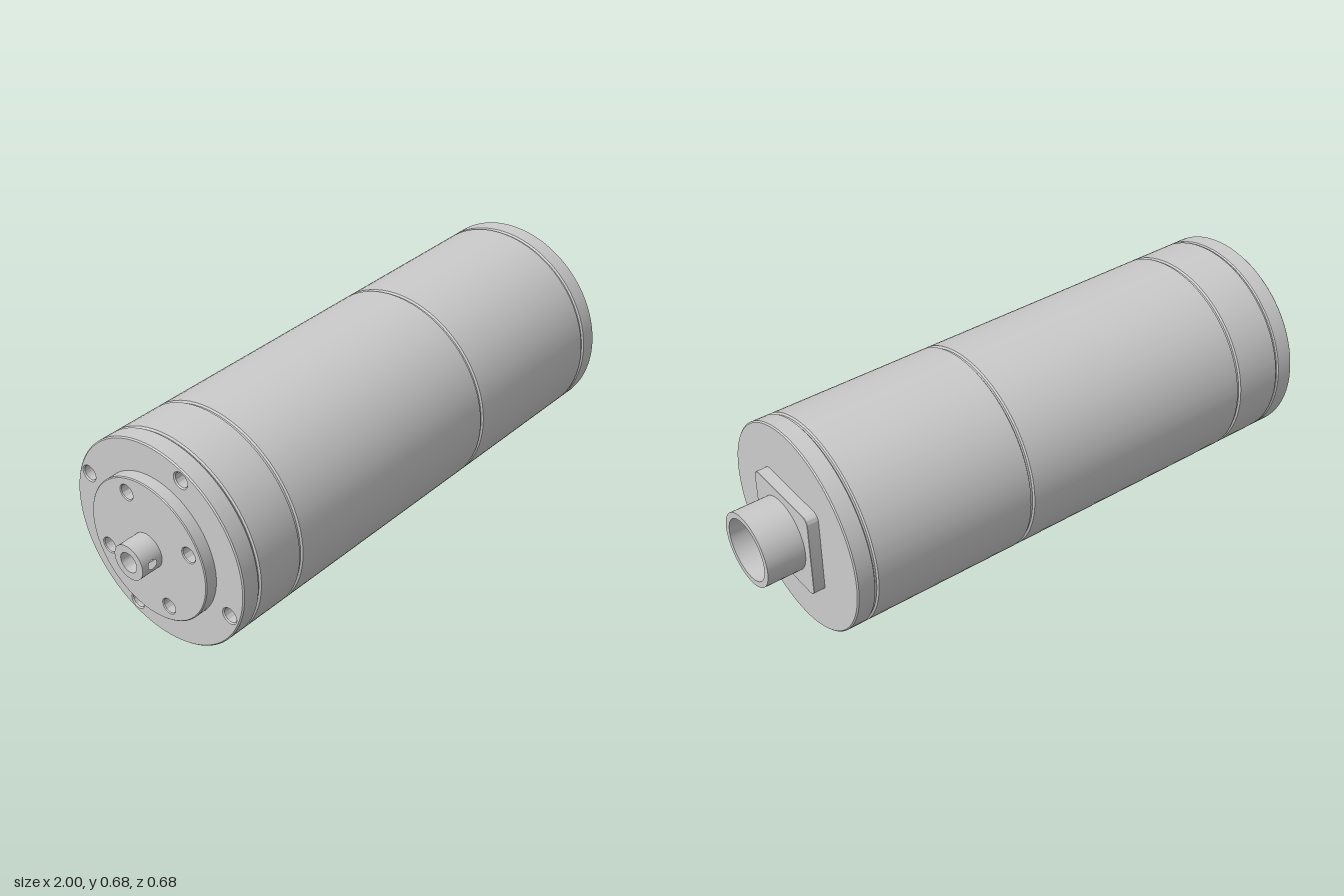
import * as THREE from 'three';
import { toCreasedNormals } from 'three/addons/utils/BufferGeometryUtils.js';
import { ParametricGeometry } from 'three/addons/geometries/ParametricGeometry.js';

const R = 0.341; // body radius; the axis runs along x
const SEG = 96;

export function createModel() {
  const root = new THREE.Group();
  root.name = 'motor';
  const axis = new THREE.Group();
  axis.name = 'motorAxis';
  axis.position.y = R;
  root.add(axis);
  const mat = new THREE.MeshStandardMaterial({ color: 0xcccccc });

  const add = (name, geo) => {
    const mesh = new THREE.Mesh(geo, mat);
    mesh.name = name;
    axis.add(mesh);
    return mesh;
  };

  // Turned part: points are [radius, x]
  const turned = (name, pts, seg = SEG) => {
    const geo = new THREE.LatheGeometry(pts.map(([r, x]) => new THREE.Vector2(r, x)), seg);
    geo.rotateZ(-Math.PI / 2);
    return add(name, toCreasedNormals(geo, 0.5));
  };

  // Plate from x0 to x1 with small chamfers
  const plate = (name, shape, x0, x1, bevel = 0.004) => {
    const geo = new THREE.ExtrudeGeometry(shape, {
      depth: x1 - x0 - 2 * bevel, curveSegments: SEG / 2,
      bevelThickness: bevel, bevelSize: bevel, bevelOffset: -bevel, bevelSegments: 1,
    });
    geo.translate(0, 0, x0 + bevel);
    geo.rotateY(Math.PI / 2);
    return add(name, toCreasedNormals(geo, 0.5));
  };

  const disc = (r) => new THREE.Shape().absarc(0, 0, r, 0, Math.PI * 2);
  const hole = (shape, x, y, r) =>
    shape.holes.push(new THREE.Path().absarc(x, y, r, 0, Math.PI * 2, true));
  // Four screw holes on a bolt circle, angle measured from straight up
  const boltHoles = (shape, radius, start) => {
    for (let i = 0; i < 4; i++) {
      const a = start + i * Math.PI / 2;
      hole(shape, -radius * Math.sin(a), radius * Math.cos(a), 0.024);
    }
  };

  // Housing with shallow grooves at the section joints
  const g = 0.006;
  const profile = [[0, -0.826], [R - g, -0.826], [R - g, -0.818], [R, -0.814]];
  for (const x of [-0.648, 0.205, 0.77]) {
    profile.push([R, x - 0.007], [R - g, x - 0.003], [R - g, x + 0.003], [R, x + 0.007]);
  }
  profile.push([R, 0.831], [R - 0.004, 0.835], [0, 0.835]);
  turned('housing', profile);

  // Front cover ring and centring boss, both with screw holes
  const cover = disc(R);
  hole(cover, 0, 0, 0.229);
  boltHoles(cover, 0.303, Math.PI / 8);
  plate('frontCover', cover, -0.885, -0.822);
  const boss = disc(0.235);
  boltHoles(boss, 0.185, -Math.PI / 8);
  plate('centringBoss', boss, -0.925, -0.826, 0.003);

  // Hollow output shaft: bore and end face
  const shaftR = 0.058;
  turned('shaftBore', [[0.033, -0.925], [0.033, -1], [shaftR, -1]], 48);

  // Shaft wall: two half shells, each with a round cross hole
  const halfShell = (u, v, target) => {
    const t = -u * Math.PI * 2;
    const c = Math.cos(t), s = Math.sin(t), m = Math.max(Math.abs(c), Math.abs(s));
    const x = THREE.MathUtils.lerp(0.016 * c, 0.0375 * c / m, v);
    const phi = THREE.MathUtils.lerp(0.016 * s / shaftR, Math.PI / 2 * s / m, v);
    target.set(-0.9625 + x, shaftR * Math.sin(phi), shaftR * Math.cos(phi));
  };
  for (const turn of [0, Math.PI]) {
    add('shaftWall', new ParametricGeometry(halfShell, 64, 12)).rotation.x = turn;
  }

  // Square connector flange with rounded corners
  const h = 0.149, k = 0.025;
  const square = new THREE.Shape();
  square.absarc(h - k, h - k, k, 0, Math.PI / 2);
  square.absarc(k - h, h - k, k, Math.PI / 2, Math.PI);
  square.absarc(k - h, k - h, k, Math.PI, Math.PI * 1.5);
  square.absarc(h - k, k - h, k, Math.PI * 1.5, Math.PI * 2);
  square.closePath();
  plate('connectorFlange', square, 0.833, 0.873, 0.001);

  // Open connector socket
  turned('connectorSocket', [[0.121, 0.87], [0.121, 1], [0.101, 1], [0.101, 0.875], [0, 0.875]], 64);

  return root;
}
